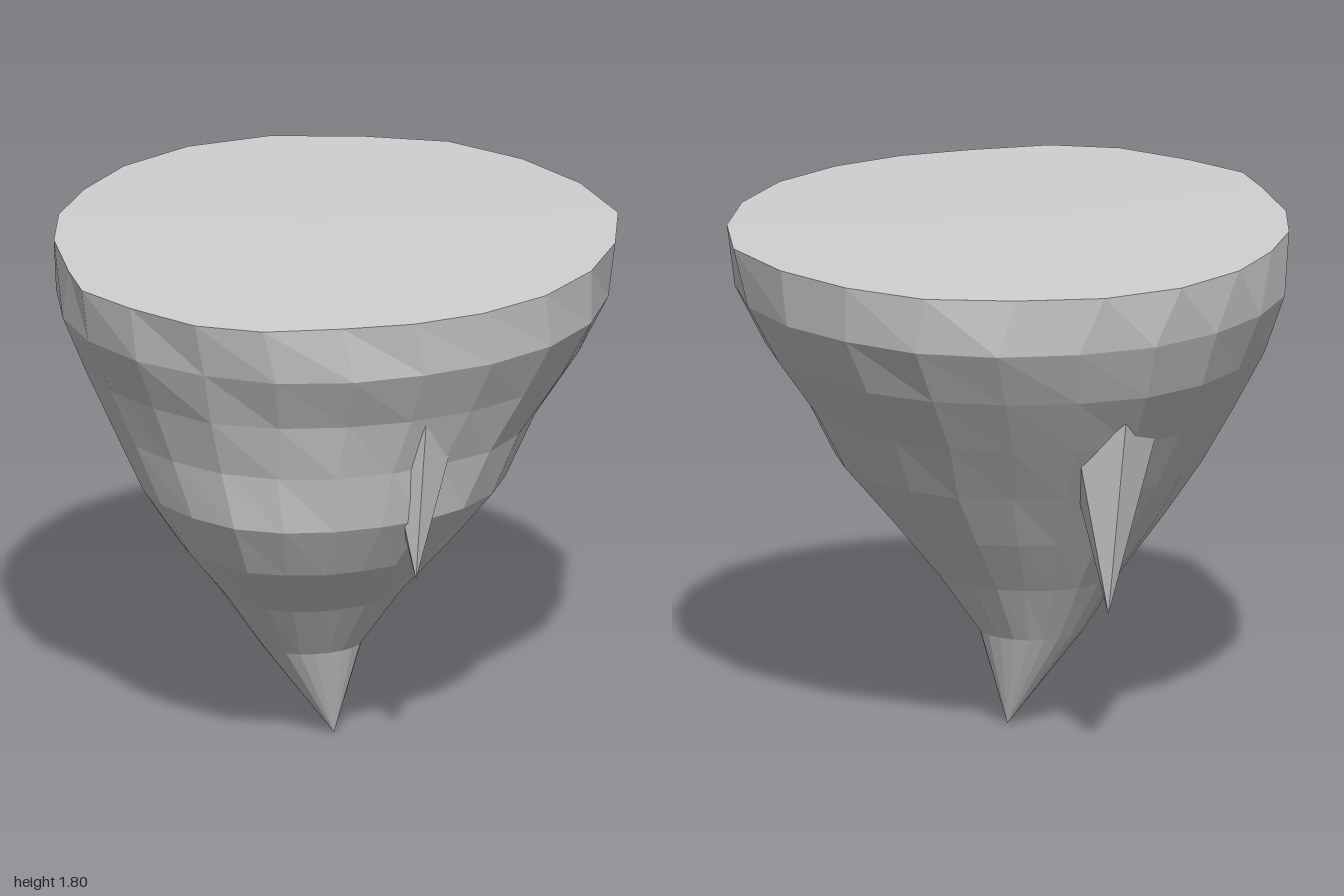
import * as THREE from 'three';

// Rim outline (x, z), anticlockwise seen from above
const RIM = [
  [-0.18, 1.0], [0.06, 0.99], [0.31, 0.88], [0.53, 0.76], [0.72, 0.59], [0.87, 0.36],
  [0.945, 0.08], [0.94, -0.21], [0.86, -0.5], [0.65, -0.74], [0.39, -0.91], [0.1, -1.0],
  [-0.21, -0.96], [-0.5, -0.87], [-0.73, -0.69], [-0.88, -0.44], [-0.94, -0.18], [-0.95, 0.08],
  [-0.89, 0.33], [-0.75, 0.61], [-0.65, 0.78], [-0.44, 0.9],
];

// Cross-sections below the rim: y, xMin, xMax, zMin, zMax
const RINGS = [
  [1.575, -0.95, 0.94, -0.96, 0.95],
  [1.37, -0.87, 0.825, -0.84, 0.84],
  [1.16, -0.76, 0.69, -0.68, 0.765],
  [0.95, -0.64, 0.605, -0.535, 0.715],
  [0.75, -0.51, 0.44, -0.395, 0.59],
  [0.55, -0.37, 0.27, -0.24, 0.4],
  [0.34, -0.24, 0.12, -0.105, 0.24],
];

// Small seeded generator for the rough stone
function seeded(seed) {
  return () => (seed = (seed * 16807) % 2147483647) / 2147483647;
}

function faceted(geometry) {
  const flat = geometry.index ? geometry.toNonIndexed() : geometry;
  flat.computeVertexNormals();
  return flat;
}

function ringPoints([y, x0, x1, z0, z1], random) {
  return RIM.map(([x, z], i) => {
    // blend the uneven rim with a regular outline
    const a = -0.17 + (i / RIM.length) * Math.PI * 2;
    const u = THREE.MathUtils.lerp(x / 0.95, Math.sin(a), 0.7);
    const v = THREE.MathUtils.lerp(z, Math.cos(a), 0.7);
    // shallow hollow around the front spike, plus slight roughness
    const hollow = 0.045 * Math.max(0, Math.cos(a - 0.78)) ** 8;
    const s = (1 - hollow + (random() - 0.5) * 0.025) / 2;
    return [(x0 + x1) / 2 + u * (x1 - x0) * s, y, (z0 + z1) / 2 + v * (z1 - z0) * s];
  });
}

function rockGeometries() {
  const random = seeded(71);
  const rings = [RIM.map(([x, z]) => [x, 1.78, z]), ...RINGS.map((ring) => ringPoints(ring, random))];
  const top = [-0.05, 1.8, -0.05];
  const tip = [0.02, 0, 0.05];
  const n = RIM.length;
  const sides = [];
  const cap = [];
  for (let i = 0; i < n; i++) {
    const j = (i + 1) % n;
    cap.push(...top, ...rings[0][i], ...rings[0][j]);
    for (let r = 0; r < rings.length - 1; r++) {
      const a = rings[r], b = rings[r + 1];
      sides.push(...a[i], ...b[i], ...b[j], ...a[i], ...b[j], ...a[j]);
    }
    const last = rings[rings.length - 1];
    sides.push(...last[i], ...tip, ...last[j]);
  }
  return [sides, cap].map((list) => {
    const g = new THREE.BufferGeometry();
    g.setAttribute('position', new THREE.Float32BufferAttribute(list, 3));
    return faceted(g);
  });
}

export function createModel() {
  const group = new THREE.Group();
  group.name = 'floatingRock';
  const stone = new THREE.MeshStandardMaterial({ color: 0xd1d1d1 });
  stone.name = 'pale stone grey';

  const add = (geometry, name) => {
    const mesh = new THREE.Mesh(geometry, stone);
    mesh.name = name;
    group.add(mesh);
    return mesh;
  };

  // Main rock body and its nearly flat top
  const [sides, cap] = rockGeometries();
  add(sides, 'rockBody');
  add(cap, 'topSurface');

  // Hanging six-sided spikes, mostly buried in the body
  const height = 0.8;
  const spike = faceted(
    new THREE.ConeGeometry(0.205, height, 6).rotateX(Math.PI).rotateY(Math.PI / 2).translate(0, height / 2, 0)
  );
  add(spike, 'frontSpike').position.set(0.43, 0.73, 0.43);
  add(spike, 'backSpike').position.set(-0.425, 0.54, -0.43);

  return group;
}
